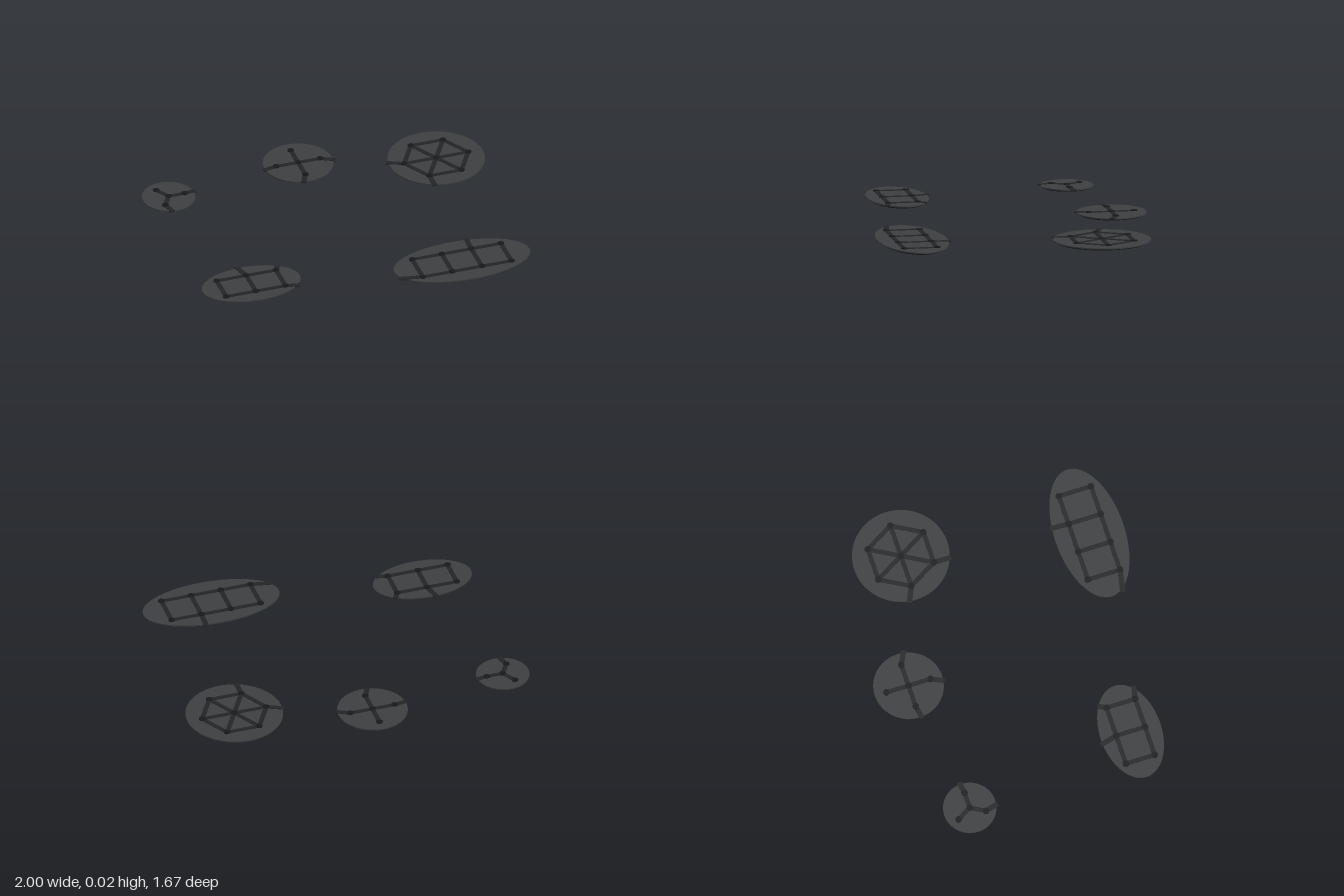
import * as THREE from 'three';

const mat = (color) => new THREE.MeshStandardMaterial({ color, roughness: 0.9 });

// Each pad: centre, radii, lattice nodes (relative x, z), bars (node pairs), tabs [node, world x, world z]
const polar = (n, r, start = 0) => Array.from({ length: n }, (_, i) => {
  const a = start + (i / n) * Math.PI * 2;
  return [r * Math.cos(a), r * Math.sin(a)];
});

function star(n, r) {
  const nodes = [[0, 0], ...polar(n, r)];
  return { nodes, bars: polar(n, r).map((_, i) => [0, i + 1]) };
}

function wheel(n, r) {
  const s = star(n, r);
  for (let i = 0; i < n; i++) s.bars.push([i + 1, ((i + 1) % n) + 1]);
  return s;
}

// Ladder: back row is nodes 0..n-1, front row is n..2n-1
function ladder(n, step, halfDepth) {
  const nodes = [], bars = [];
  for (const z of [-halfDepth, halfDepth])
    for (let i = 0; i < n; i++) nodes.push([(i - (n - 1) / 2) * step, z]);
  for (let i = 0; i < n; i++) {
    bars.push([i, i + n]);
    if (i < n - 1) bars.push([i, i + 1], [i + n, i + n + 1]);
  }
  return { nodes, bars };
}

const PADS = [
  { name: 'smallRoundPad', x: -0.85, z: -0.535, rx: 0.152, rz: 0.152, ...star(3, 0.095),
    tabs: [[1, -0.685, -0.545], [2, -0.877, -0.377]] },
  { name: 'mediumRoundPad', x: -0.04, z: -0.636, rx: 0.201, rz: 0.201, ...star(4, 0.132),
    tabs: [[3, -0.251, -0.623], [1, 0.171, -0.596], [2, -0.075, -0.43]] },
  { name: 'largeRoundPad', x: 0.72, z: -0.433, rx: 0.278, rz: 0.278, ...wheel(6, 0.192),
    tabs: [[4, 0.433, -0.476], [3, 0.623, -0.163]] },
  { name: 'shortOvalPad', x: -0.695, z: 0.478, rx: 0.29, rz: 0.176, ...ladder(3, 0.178, 0.086),
    tabs: [[1, -0.722, 0.291], [2, -0.492, 0.345], [5, -0.438, 0.58]] },
  { name: 'longOvalPad', x: 0.518, z: 0.629, rx: 0.404, rz: 0.2, ...ladder(4, 0.177, 0.096),
    tabs: [[2, 0.612, 0.42], [4, 0.118, 0.698]] },
];

export function createModel() {
  const group = new THREE.Group();
  const slabMat = mat(0x3c3e40), baseMat = mat(0x141516), barMat = mat(0x222426), nodeMat = mat(0x16181a);

  const add = (parent, name, geometry, material, x, y, z) => {
    const mesh = new THREE.Mesh(geometry, material);
    mesh.name = name;
    mesh.position.set(x, y, z);
    parent.add(mesh);
    return mesh;
  };

  // Flat elliptical plate between two heights
  const plate = (parent, name, rx, rz, y0, y1, material) => {
    const geometry = new THREE.CylinderGeometry(1, 1, y1 - y0, 64).scale(rx, 1, rz);
    add(parent, name, geometry, material, 0, (y0 + y1) / 2, 0);
  };

  // Flat strip laid from one point to another
  const strip = (parent, name, [ax, az], [bx, bz], width, y0, y1) => {
    const geometry = new THREE.BoxGeometry(Math.hypot(bx - ax, bz - az), y1 - y0, width);
    const mesh = add(parent, name, geometry, barMat, (ax + bx) / 2, (y0 + y1) / 2, (az + bz) / 2);
    mesh.rotation.y = -Math.atan2(bz - az, bx - ax);
  };

  for (const p of PADS) {
    const pad = new THREE.Group();
    pad.name = p.name;
    pad.position.set(p.x, 0, p.z);

    // Recessed base under a slightly wider slab
    plate(pad, 'base', p.rx - 0.016, p.rz - 0.016, 0, 0.009, baseMat);
    plate(pad, 'slab', p.rx, p.rz, 0.008, 0.015, slabMat);

    // Lattice of bars, with tabs reaching past the rim
    for (const [a, b] of p.bars) strip(pad, 'bar', p.nodes[a], p.nodes[b], 0.026, 0.012, 0.0175);
    for (const [n, x, z] of p.tabs)
      strip(pad, 'tab', p.nodes[n], [x - p.x, z - p.z], 0.03, 0.01, 0.017);

    // Round studs on the lattice joints
    for (const [x, z] of p.nodes)
      add(pad, 'stud', new THREE.CylinderGeometry(0.019, 0.019, 0.008, 16), nodeMat, x, 0.016, z);

    group.add(pad);
  }
  return group;
}
